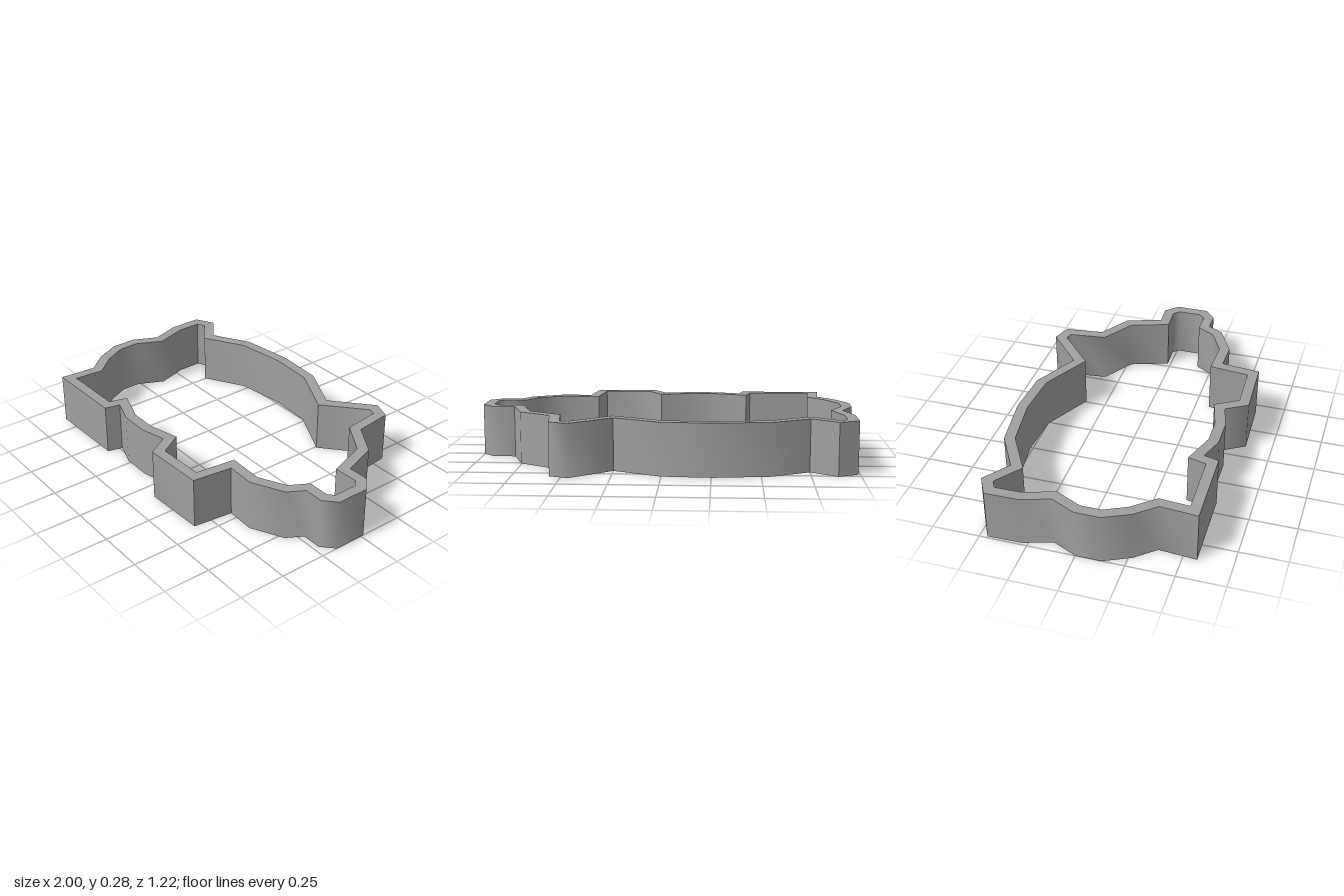
import * as THREE from 'three';
import { toCreasedNormals } from 'three/addons/utils/BufferGeometryUtils.js';

const HEIGHT = 0.275;
const WALL = 0.056;

// Outer outline seen from above, as [x, z]
const OUTLINE = [
  // tail and back
  [-0.99, -0.46], [-0.885, -0.515], [-0.75, -0.415], [-0.55, -0.53], [-0.26, -0.57], [0, -0.555], [0.25, -0.43],
  // ear and brow
  [0.46, -0.612], [0.56, -0.575], [0.585, -0.37], [0.755, -0.265], [0.82, -0.075],
  // snout and chin
  [0.935, -0.08], [1, -0.015], [1, 0.16], [0.935, 0.22], [0.83, 0.22], [0.78, 0.305], [0.61, 0.39], [0.455, 0.385],
  // front leg, belly, hind leg
  [0.43, 0.597], [0.095, 0.61], [0.025, 0.495], [-0.11, 0.53], [-0.27, 0.53], [-0.4, 0.485], [-0.42, 0.565], [-0.86, 0.572],
  // rump
  [-0.845, 0.375], [-0.935, 0.27], [-1, 0.135], [-1, 0], [-0.938, -0.13], [-0.987, -0.28],
].map(([x, z]) => new THREE.Vector2(x, z));

// Moves every side of the outline inward by the wall thickness, with mitred corners
function inset(points, distance) {
  const n = points.length;
  const inward = (a, b) => new THREE.Vector2(a.y - b.y, b.x - a.x).normalize();
  return points.map((p, i) => {
    const n1 = inward(points[(i + n - 1) % n], p);
    const n2 = inward(p, points[(i + 1) % n]);
    const miter = n1.clone().add(n2);
    return p.clone().addScaledVector(miter, distance / (1 + n1.dot(n2)));
  });
}

export function createModel() {
  const group = new THREE.Group();
  group.name = 'cookieCutter';
  const grey = new THREE.MeshStandardMaterial({ color: 0xa0a0a0 });
  grey.name = 'grey';

  // Upright wall following the outline
  const shape = new THREE.Shape(OUTLINE);
  shape.holes.push(new THREE.Path(inset(OUTLINE, WALL)));
  const geometry = new THREE.ExtrudeGeometry(shape, { depth: HEIGHT, bevelEnabled: false });
  geometry.rotateX(Math.PI / 2).translate(0, HEIGHT, 0);
  geometry.clearGroups();

  const wall = new THREE.Mesh(toCreasedNormals(geometry, 1.1), grey);
  wall.name = 'wall';
  group.add(wall);
  return group;
}
